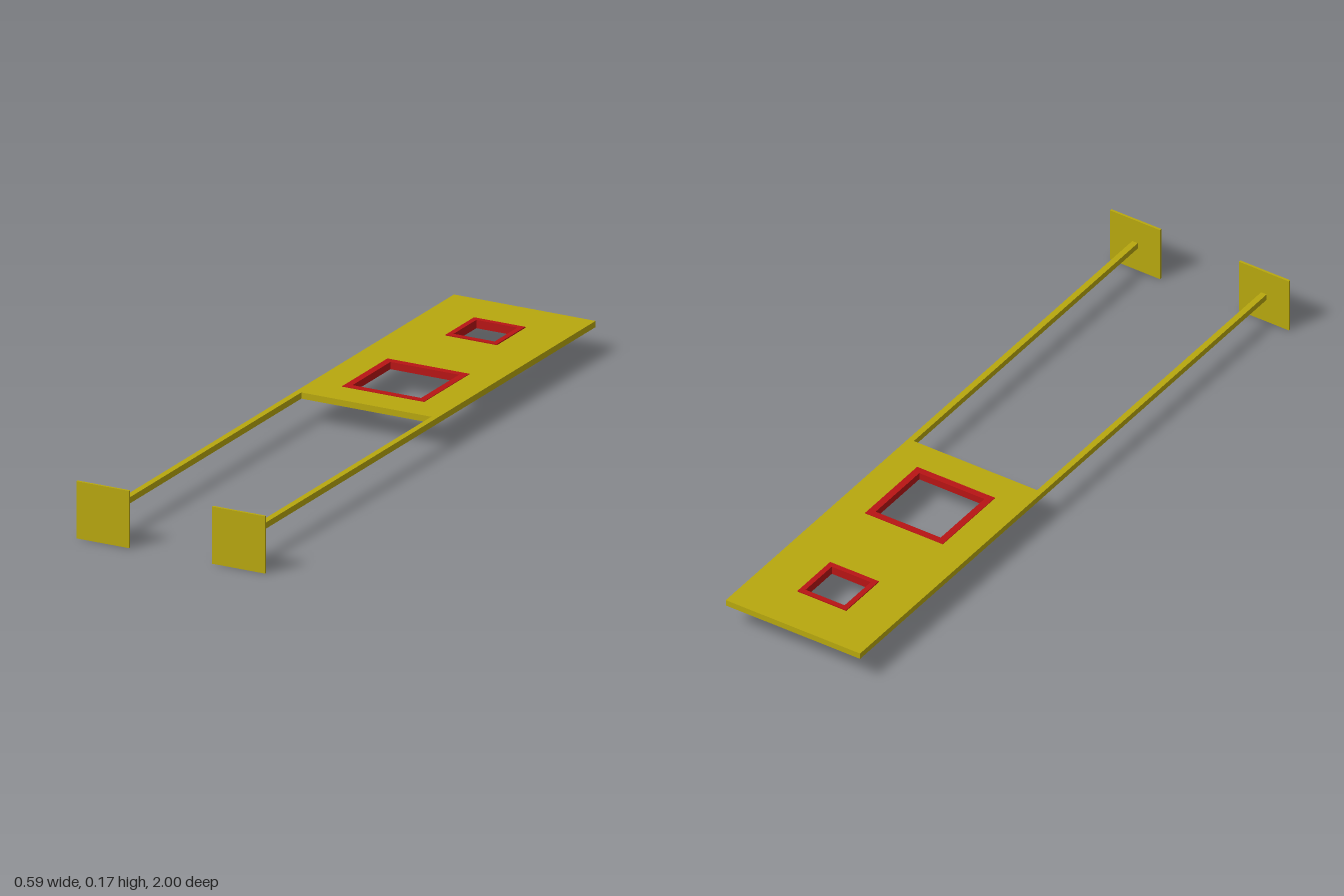
import * as THREE from 'three';

const yellow = new THREE.MeshStandardMaterial({ color: 0xb8a80e });
const red = new THREE.MeshStandardMaterial({ color: 0xb81414 });
const MID = 0.083; // height of the deck's middle plane

// Rectangle corners; pass y = -z so the extrusion can be laid flat
const rect = (hw, hd, z = 0) => [[-hw, -hd], [hw, -hd], [hw, hd], [-hw, hd]]
  .map(([x, y]) => new THREE.Vector2(x, y - z));

// Horizontal slab with holes, centred on the middle plane
function slab(name, outline, holes, thickness, material) {
  const shape = new THREE.Shape(outline);
  holes.forEach((h) => shape.holes.push(new THREE.Path(h)));
  const geo = new THREE.ExtrudeGeometry(shape, { depth: thickness, bevelEnabled: false });
  geo.translate(0, 0, -thickness / 2).rotateX(-Math.PI / 2);
  const mesh = new THREE.Mesh(geo, material);
  mesh.name = name;
  mesh.position.y = MID;
  return mesh;
}

function box(name, size, position) {
  const mesh = new THREE.Mesh(new THREE.BoxGeometry(...size), yellow);
  mesh.name = name;
  mesh.position.set(...position);
  return mesh;
}

export function createModel() {
  const model = new THREE.Group();
  model.name = 'framedDeck';

  // Square openings: outer and inner half-size, centre z, frame height
  const openings = [
    { name: 'largeFrame', outer: 0.128, inner: 0.107, z: -0.328, h: 0.021 },
    { name: 'smallFrame', outer: 0.08, inner: 0.064, z: -0.778, h: 0.024 },
  ];

  // Deck between the rails
  model.add(slab('deck', rect(0.204, 0.4475, -0.5525),
    openings.map((o) => rect(o.outer, o.outer, o.z)), 0.018, yellow));

  // Red frames lining the openings
  for (const o of openings) {
    model.add(slab(o.name, rect(o.outer, o.outer, o.z), [rect(o.inner, o.inner, o.z)], o.h, red));
  }

  // Full-length side rails with upright end plates
  for (const [side, s] of [['left', 1], ['right', -1]]) {
    model.add(box(side + 'Rail', [0.018, 0.018, 1.993], [s * 0.212, MID, -0.0035]));
    model.add(box(side + 'EndPlate', [0.164, 0.166, 0.007], [s * 0.212, MID, 0.9965]));
  }
  return model;
}
